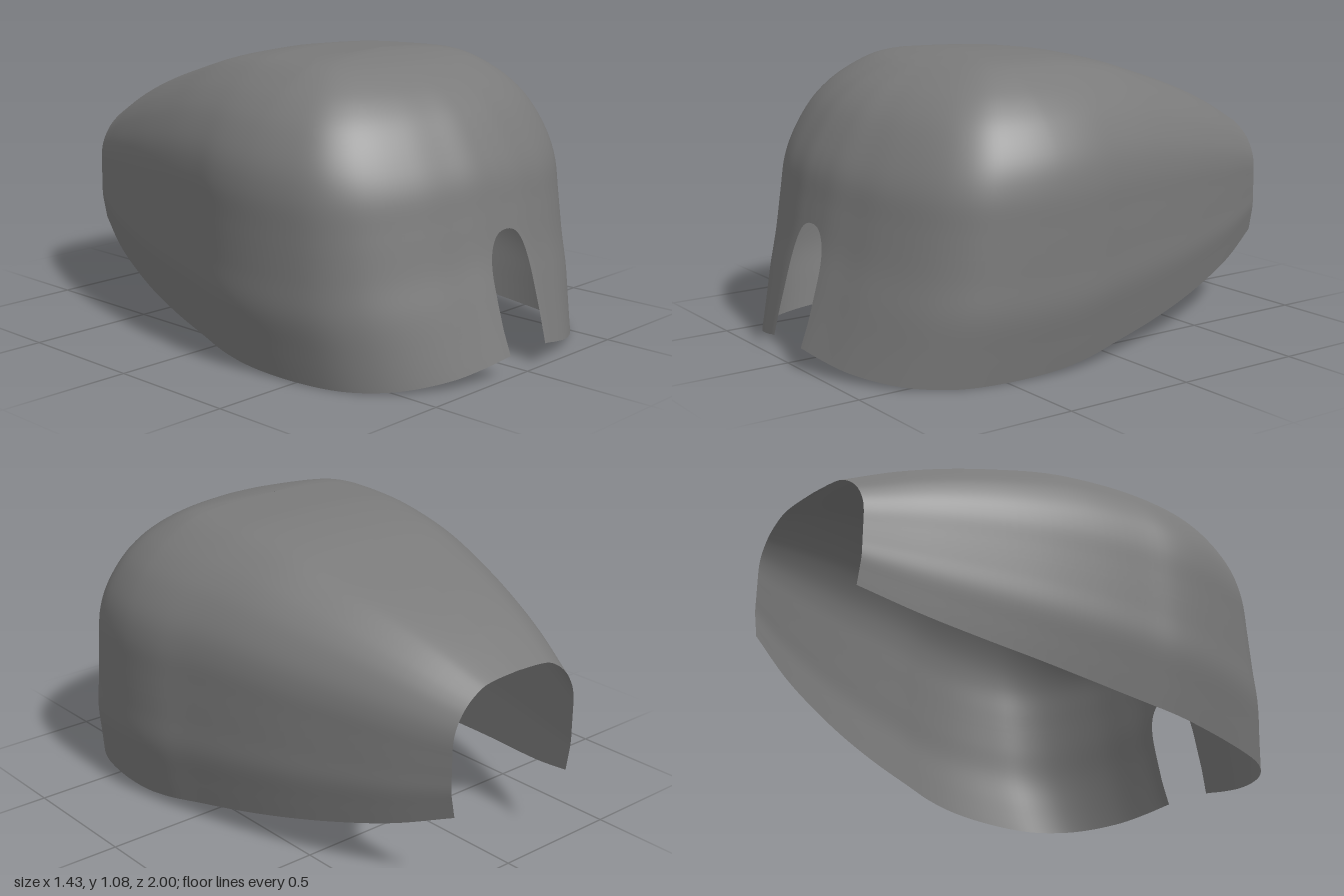
import * as THREE from 'three';
import { mergeVertices } from 'three/addons/utils/BufferGeometryUtils.js';

// Plan stations from nose to tail: [half width, z, bottom edge y, top ridge y]
const STATIONS = [
  [0, 1.005, 0.085, 1.085], [0.11, 1.0, 0.08, 1.085], [0.22, 0.975, 0.057, 1.085],
  [0.35, 0.935, 0.033, 1.085], [0.49, 0.86, 0.014, 1.085], [0.59, 0.77, 0.005, 1.085],
  [0.66, 0.65, 0.001, 1.085], [0.7, 0.48, 0.004, 1.085], [0.716, 0.3, 0.015, 1.085],
  [0.706, 0.15, 0.033, 1.082], [0.67, 0, 0.055, 1.075], [0.62, -0.2, 0.085, 1.043],
  [0.56, -0.4, 0.12, 0.985], [0.485, -0.6, 0.16, 0.92], [0.4, -0.8, 0.21, 0.84],
  [0.3, -1, 0.28, 0.742],
];
// Wall profile from bottom edge to ridge: [height fraction, width factor, front z]
const PROFILE = [
  [0, 0.935, 1], [0.1, 0.965, 0.97], [0.22, 0.998, 0.935], [0.34, 1, 0.902],
  [0.48, 1, 0.873], [0.6, 0.996, 0.847], [0.7, 0.962, 0.8], [0.8, 0.88, 0.735],
  [0.87, 0.785, 0.665], [0.92, 0.685, 0.59], [0.96, 0.575, 0.505], [0.98, 0.47, 0.43],
  [0.993, 0.28, 0.36], [1, 0, 0.3],
];
const NOSE_Z = 0.3; // the ridge ends here and the nose rounds down
const SLOT_TOP = 0.497;
const SLOT_H = (SLOT_TOP - 0.085) / 1.0;

const spline = (pts) => new THREE.CatmullRomCurve3(
  pts.map((p) => new THREE.Vector3(...p)), false, 'catmullrom', 0.5);
const plan = spline(STATIONS.map(([x, z]) => [x, z, 0]));
const edges = spline(STATIONS.map(([, , b, t]) => [b, t, 0]));
const profile = spline(PROFILE);

// Parameter at which the rising x component of a curve reaches a value
function solve(curve, value, hi) {
  let lo = 0;
  for (let i = 0; i < 32; i++) {
    const mid = (lo + hi) / 2;
    if (curve.getPoint(mid).x < value) lo = mid; else hi = mid;
  }
  return (lo + hi) / 2;
}

// Half width of the round-topped front slot at height y
function slotHalfWidth(y) {
  if (y >= SLOT_TOP - 1e-5) return 0;
  if (y < 0.3) return 0.1 + 0.008 * Math.min(1, (y - 0.08) / 0.1);
  return 0.108 * Math.pow(1 - Math.pow((y - 0.3) / (SLOT_TOP - 0.3), 2.5), 0.4);
}

function shellGeometry() {
  // Rows are denser near the slot top and near the ridge
  const rows = [];
  const ease = (i, n) => Math.sin((Math.PI / 2) * (i / n));
  for (let i = 0; i < 24; i++) rows.push(SLOT_H * ease(i, 24));
  for (let i = 0; i <= 40; i++) rows.push(SLOT_H + (1 - SLOT_H) * ease(i, 40));
  const cols = 72;
  const positions = [], indices = [];

  for (const side of [1, -1]) {
    const base = positions.length / 3;
    rows.forEach((h, i) => {
      const last = i === rows.length - 1;
      const p = last ? new THREE.Vector3(1, 0, NOSE_Z)
        : i === 0 ? profile.getPoint(0) : profile.getPoint(solve(profile, h, 1));
      const gap = slotHalfWidth(0.085 + h);
      const start = gap > 0 ? solve(plan, gap / p.y, 0.5) : 0;
      for (let j = 0; j <= cols; j++) {
        const u = start + (1 - start) * (j / cols);
        const s = plan.getPoint(u), e = edges.getPoint(u);
        const z = s.y > NOSE_Z
          ? NOSE_Z + (s.y - NOSE_Z) * (p.z - NOSE_Z) / (1 - NOSE_Z) : s.y;
        positions.push(side * s.x * p.y, e.x + (e.y - e.x) * h, z);
      }
    });
    for (let i = 0; i < rows.length - 1; i++) {
      for (let j = 0; j < cols; j++) {
        const a = base + i * (cols + 1) + j, b = a + 1;
        const c = a + cols + 1, d = c + 1;
        if (side > 0) indices.push(a, b, d, a, d, c);
        else indices.push(a, d, b, a, c, d);
      }
    }
  }
  let geometry = new THREE.BufferGeometry();
  geometry.setAttribute('position', new THREE.Float32BufferAttribute(positions, 3));
  geometry.setIndex(indices);
  geometry = mergeVertices(geometry, 1e-4); // weld the halves along the centre line
  geometry.computeVertexNormals();
  return geometry;
}

export function createModel() {
  const group = new THREE.Group();
  group.name = 'hood';
  const grey = new THREE.MeshStandardMaterial({ color: 0x7a7a7a, side: THREE.DoubleSide });
  grey.name = 'grey';
  const shell = new THREE.Mesh(shellGeometry(), grey);
  shell.name = 'shell';
  group.add(shell);
  return group;
}
